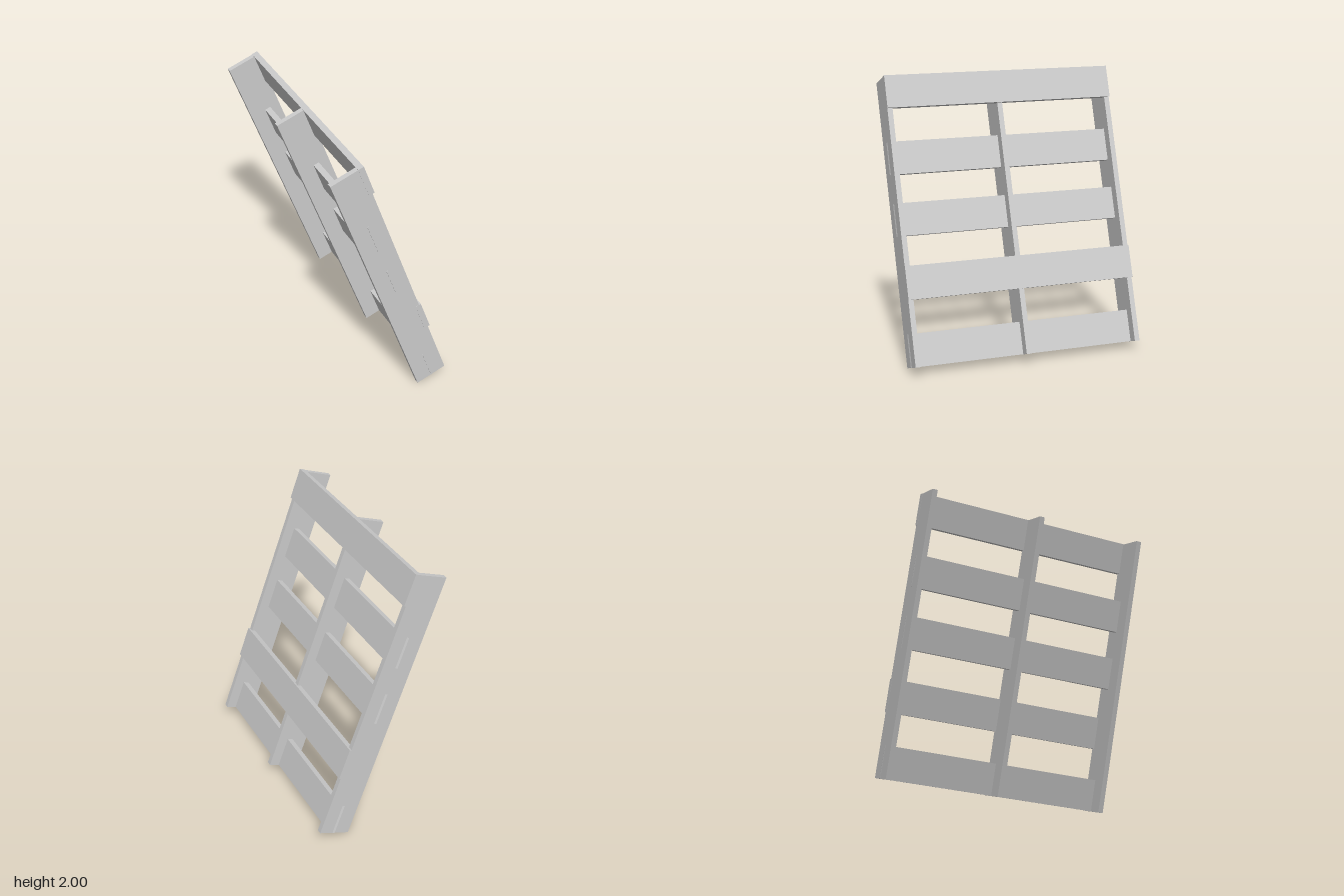
import * as THREE from 'three';

const material = new THREE.MeshStandardMaterial({ color: 0xcccccc, flatShading: true });

// Board between the given limits; flare lengthens its inner (-x) face along z
function board(name, [x0, x1], [y0, y1], [z0, z1], flare = 0) {
  const geometry = new THREE.BoxGeometry(x1 - x0, y1 - y0, z1 - z0);
  geometry.translate((x0 + x1) / 2, (y0 + y1) / 2, (z0 + z1) / 2);
  const p = geometry.attributes.position;
  for (let i = 0; i < p.count; i++) {
    if (p.getX(i) < (x0 + x1) / 2) p.setZ(i, p.getZ(i) + Math.sign(p.getZ(i)) * flare);
  }
  geometry.computeVertexNormals();
  const mesh = new THREE.Mesh(geometry, material);
  mesh.name = name;
  return mesh;
}

export function createModel() {
  const model = new THREE.Group();
  model.name = 'leaningPallet';

  // Frame built upright, then leaned over
  const frame = new THREE.Group();
  frame.name = 'palletFrame';
  frame.rotation.z = THREE.MathUtils.degToRad(20);
  frame.position.y = 1;
  model.add(frame);

  // Three long stringers
  const stringers = [
    ['leftStringer', [-0.843, -0.806]],
    ['middleStringer', [-0.006, 0.031]],
    ['rightStringer', [0.804, 0.841]],
  ];
  for (const [name, z] of stringers) {
    frame.add(board(name, [-0.1175, 0.1145], [-1.019, 1.015], z));
  }

  // Slats lapped over the outer edge of the stringers
  for (const [y0, y1] of [[0.786, 1.017], [-0.556, -0.322]]) {
    frame.add(board('outerSlat', [0.087, 0.129], [y0, y1], [-0.845, 0.843]));
  }

  // Slats let into the stringers, with inner edges just breaking through the sides
  for (const [y0, y1] of [[0.328, 0.562], [-0.106, 0.125], [-1.018, -0.787]]) {
    frame.add(board('innerSlat', [-0.003, 0.039], [y0, y1], [-0.836, 0.834], 0.011));
  }

  return model;
}
